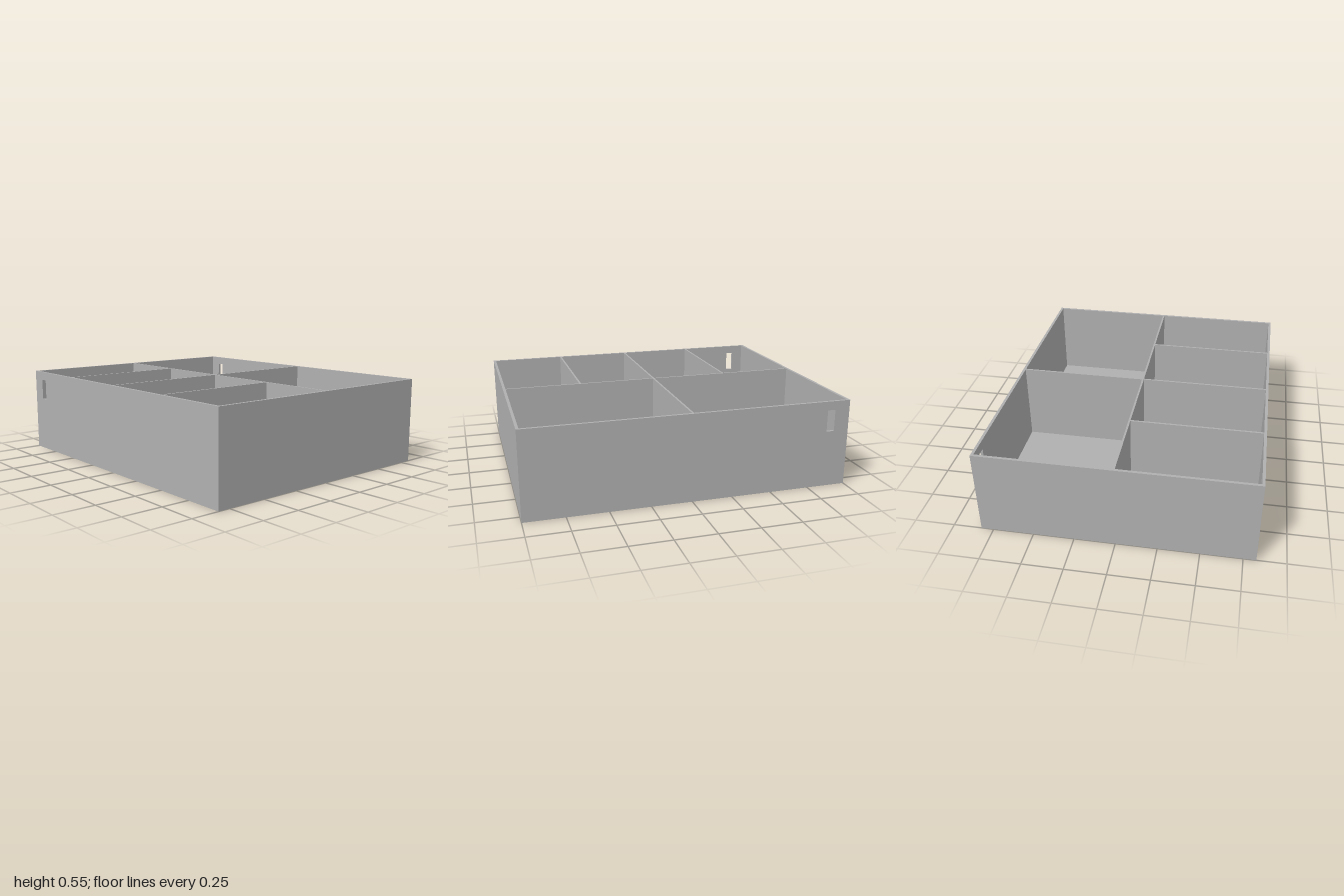
import * as THREE from 'three';

export function createModel() {
  const W = 2, D = 1.652, H = 0.545;   // outer size of the tray
  const WALL = 0.017, DIV = 0.012, FLOOR = 0.03;
  const IW = W - 2 * WALL, ID = D - 2 * WALL, IH = H - FLOOR;

  const tray = new THREE.Group();
  tray.name = 'dividedTray';
  const grey = new THREE.MeshStandardMaterial({ color: 0xb0b0b0 });
  grey.name = 'grey';

  const add = (name, geometry, x = 0, y = 0, z = 0) => {
    const mesh = new THREE.Mesh(geometry, grey);
    mesh.name = name;
    mesh.position.set(x, y, z);
    tray.add(mesh);
  };
  const rect = (x0, y0, x1, y1, Type = THREE.Shape) => new Type([
    new THREE.Vector2(x0, y0), new THREE.Vector2(x1, y0),
    new THREE.Vector2(x1, y1), new THREE.Vector2(x0, y1),
  ]);
  const extrude = (shape, depth) =>
    new THREE.ExtrudeGeometry(shape, { depth, bevelEnabled: false, curveSegments: 48 });

  // Floor with a round hole in each rear compartment
  const floor = rect(-IW / 2, -ID / 2, IW / 2, ID / 2);
  for (const x of [-0.5, 0.5]) {
    floor.holes.push(new THREE.Path().absarc(x, 0.412, 0.1, 0, Math.PI * 2, true));
  }
  add('floor', extrude(floor, FLOOR).rotateX(-Math.PI / 2));

  // Front and back walls, each with an upright slot
  const longWall = rect(-W / 2, 0, W / 2, H);
  longWall.holes.push(rect(-0.905, 0.355, -0.855, 0.49, THREE.Path));
  const longGeometry = extrude(longWall, WALL);
  add('frontWall', longGeometry, 0, 0, D / 2 - WALL);
  add('backWall', longGeometry, 0, 0, -D / 2);

  // Side walls
  const sideGeometry = new THREE.BoxGeometry(WALL, H, ID);
  add('leftWall', sideGeometry, (W - WALL) / 2, H / 2);
  add('rightWall', sideGeometry, -(W - WALL) / 2, H / 2);

  // Dividers: one lengthwise, one across the rear, three across the front
  const divY = FLOOR + IH / 2;
  add('longDivider', new THREE.BoxGeometry(IW, IH, DIV), 0, divY);
  const len = (ID - DIV) / 2;
  const crossGeometry = new THREE.BoxGeometry(DIV, IH, len);
  const crossZ = (DIV + len) / 2;
  add('rearDivider', crossGeometry, 0, divY, -crossZ);
  for (const x of [-0.5, 0, 0.5]) add('frontDivider', crossGeometry, x, divY, crossZ);

  return tray;
}
